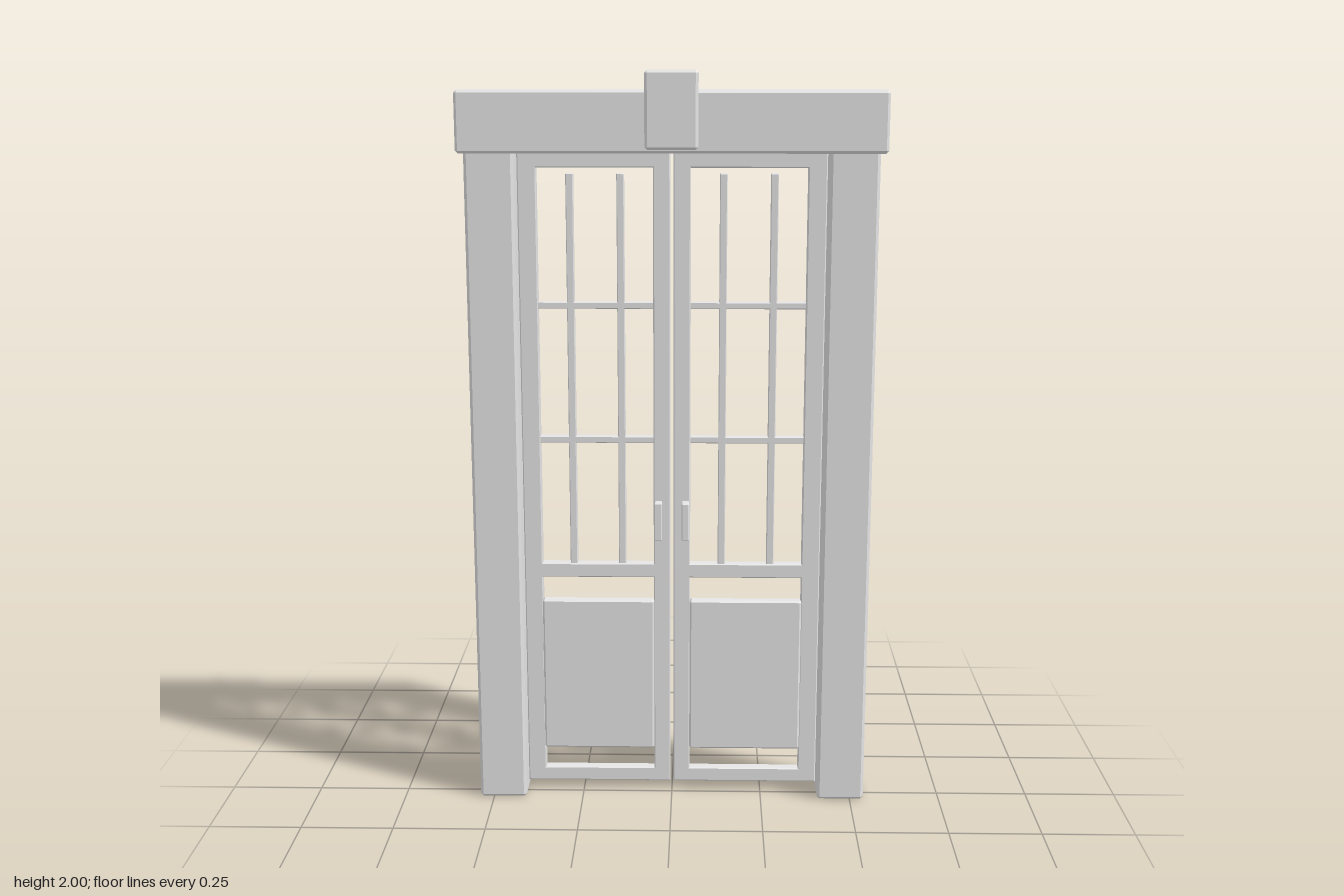
import * as THREE from 'three';
import { ConvexGeometry } from 'three/addons/geometries/ConvexGeometry.js';

const paint = new THREE.MeshStandardMaterial({ color: 0xe5e5e5, flatShading: true });
paint.name = 'pale grey';

// Box with chamfered edges, given by its limits on each axis
function chamferBox(name, [x0, x1], [y0, y1], [z0, z1], c) {
  const half = [(x1 - x0) / 2, (y1 - y0) / 2, (z1 - z0) / 2];
  const points = [];
  for (const sx of [-1, 1]) for (const sy of [-1, 1]) for (const sz of [-1, 1]) {
    // each corner becomes three points, one on each face
    for (let face = 0; face < 3; face++) {
      const p = [sx, sy, sz].map((s, i) => s * (half[i] - (i === face ? 0 : c)));
      points.push(new THREE.Vector3(...p));
    }
  }
  const mesh = new THREE.Mesh(new ConvexGeometry(points), paint);
  mesh.name = name;
  mesh.position.set((x0 + x1) / 2, (y0 + y1) / 2, (z0 + z1) / 2);
  return mesh;
}

function rectangle(PathType, x0, x1, y0, y1) {
  const p = new PathType();
  p.moveTo(x0, y0);
  p.lineTo(x1, y0);
  p.lineTo(x1, y1);
  p.lineTo(x0, y1);
  p.closePath();
  return p;
}

// One door leaf; side is +1 or -1 along x
function makeDoor(side) {
  const door = new THREE.Group();
  door.name = side > 0 ? 'leftDoor' : 'rightDoor';
  const span = (a, b) => (side > 0 ? [a, b] : [-b, -a]);

  // Stiles and rails in one piece, with a glazing opening and a panel opening
  const outline = rectangle(THREE.Shape, ...span(0.004, 0.407), 0.025, 1.793);
  outline.holes.push(
    rectangle(THREE.Path, ...span(0.05, 0.357), 0.67, 1.75),
    rectangle(THREE.Path, ...span(0.05, 0.357), 0.065, 0.63)
  );
  const bevel = 0.003;
  const frameGeometry = new THREE.ExtrudeGeometry(outline, {
    depth: 0.03 - 2 * bevel, bevelEnabled: true, bevelSegments: 1,
    bevelSize: bevel, bevelThickness: bevel, bevelOffset: -bevel
  });
  const frame = new THREE.Mesh(frameGeometry, paint);
  frame.name = 'doorFrame';
  frame.position.z = -0.045 + bevel;
  door.add(frame);

  // Raised lower panel, with slots above and below it
  door.add(chamferBox('lowerPanel', span(0.049, 0.358), [0.13, 0.568], [-0.03, 0], 0.005));

  // Glazing bars
  for (const x of [0.136, 0.27]) {
    door.add(chamferBox('verticalBar', span(x - 0.01, x + 0.01), [0.665, 1.735], [-0.042, -0.018], 0.002));
  }
  for (const y of [1.02, 1.387]) {
    door.add(chamferBox('horizontalBar', span(0.048, 0.359), [y - 0.009, y + 0.009], [-0.041, -0.018], 0.002));
  }

  // Pull handle on the front
  door.add(chamferBox('handle', span(0.027, 0.047), [0.746, 0.85], [-0.016, 0.018], 0.002));
  return door;
}

export function createModel() {
  const model = new THREE.Group();
  model.name = 'doubleDoor';

  // Side posts and door leaves
  for (const side of [1, -1]) {
    const x = side > 0 ? [0.408, 0.538] : [-0.538, -0.408];
    model.add(chamferBox(side > 0 ? 'leftPost' : 'rightPost', x, [0, 1.81], [-0.072, 0.048], 0.008));
    model.add(makeDoor(side));
  }

  // Lintel and the block at its centre
  model.add(chamferBox('lintel', [-0.558, 0.558], [1.79, 1.95], [-0.073, 0.055], 0.007));
  model.add(chamferBox('centreBlock', [-0.069, 0.069], [1.8, 2], [-0.072, 0.073], 0.007));
  return model;
}
